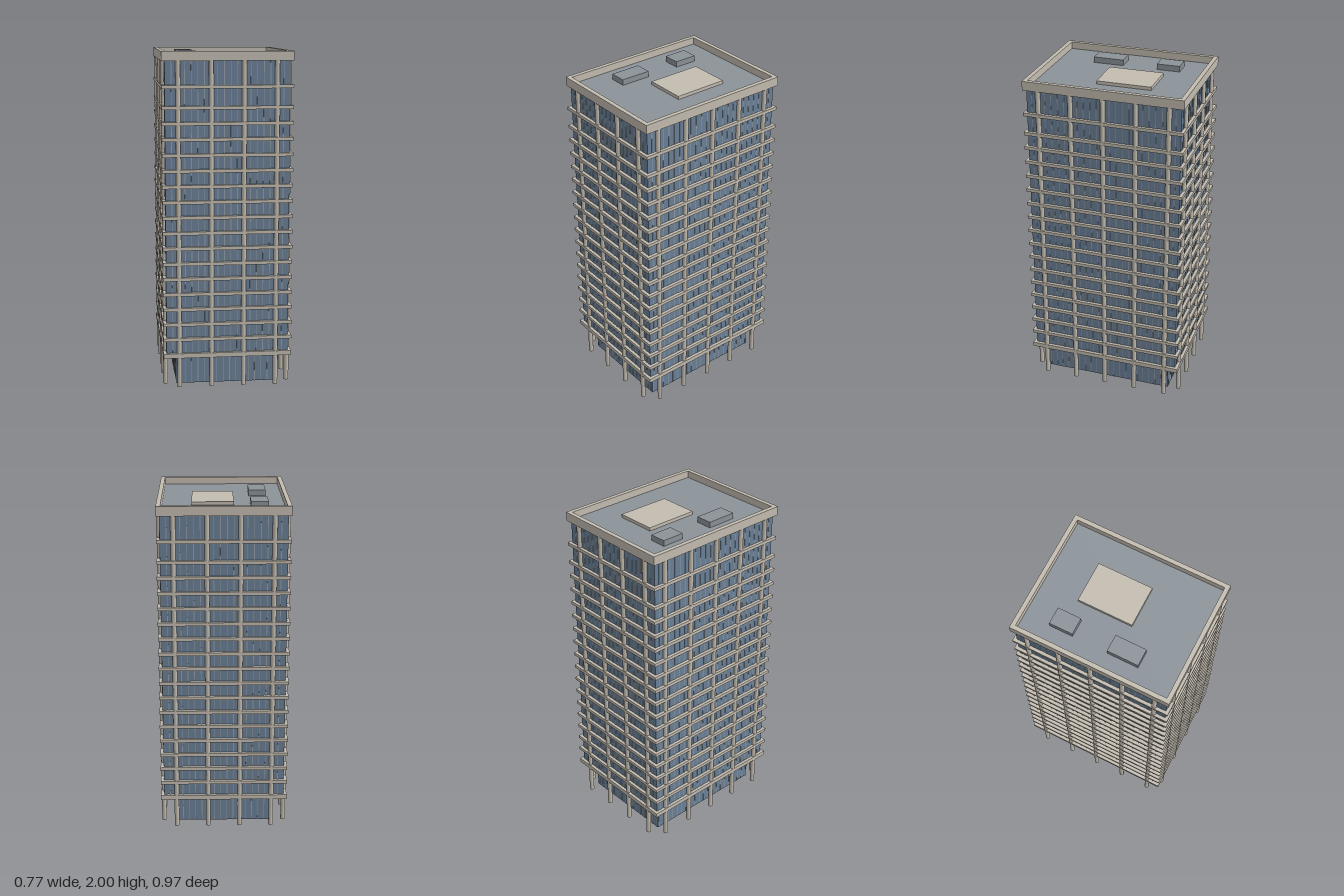
import * as THREE from 'three';

const HX = 0.385, HZ = 0.483;        // outer half sizes
const GX = 0.366, GZ = 0.464;        // tower glass half sizes
const LX = 0.304, LZ = 0.402;        // lobby half sizes
const SLAB = 0.18, TOP = 1.945, ROOF = 1.957;

const concrete = new THREE.MeshStandardMaterial({ name: 'concrete', color: 0xc3bcb0 });
const glass = new THREE.MeshStandardMaterial({ name: 'glass', color: 0x6a8097 });
const lobbyGlass = new THREE.MeshStandardMaterial({ name: 'lobby glass', color: 0x6a8097, side: THREE.DoubleSide });
const mullionGrey = new THREE.MeshStandardMaterial({ name: 'mullion grey', color: 0x969fa5 });
const roofGrey = new THREE.MeshStandardMaterial({ name: 'roof grey', color: 0x8b9299 });

export function createModel() {
  const model = new THREE.Group();
  model.name = 'officeTower';

  const add = (name, geometry, material, x = 0, y = 0, z = 0, parent = model) => {
    const mesh = new THREE.Mesh(geometry, material);
    mesh.name = name;
    mesh.position.set(x, y, z);
    parent.add(mesh);
    return mesh;
  };
  // Box given by its ranges along each axis
  const block = (name, material, x0, x1, y0, y1, z0, z1, parent) =>
    add(name, new THREE.BoxGeometry(x1 - x0, y1 - y0, z1 - z0), material,
      (x0 + x1) / 2, (y0 + y1) / 2, (z0 + z1) / 2, parent);

  // Glass body and recessed lobby, whose underside is open
  block('towerGlass', glass, -GX, GX, SLAB + 0.02, TOP, -GZ, GZ);
  for (const s of [-1, 1]) {
    const front = add('lobbyWall', new THREE.PlaneGeometry(2 * LX, SLAB), lobbyGlass, 0, SLAB / 2, s * LZ);
    const side = add('lobbyWall', new THREE.PlaneGeometry(2 * LZ, SLAB), lobbyGlass, s * LX, SLAB / 2, 0);
    front.rotation.y = s > 0 ? 0 : Math.PI;
    side.rotation.y = s * Math.PI / 2;
  }

  // First floor slab and the floor bands above it
  block('firstFloorSlab', concrete, -HX, HX, SLAB, 0.208, -HZ, HZ);
  const levels = Array.from({ length: 16 }, (_, i) => 0.294 + i * 0.0921);
  levels.push(1.796);
  const bands = new THREE.Group();
  bands.name = 'floorBands';
  model.add(bands);
  for (const y of levels) block('floorBand', concrete, -HX, HX, y - 0.01, y + 0.01, -HZ, HZ, bands);

  // Round columns: four on the front and back, five on each side
  const columnGeo = new THREE.CylinderGeometry(0.0145, 0.0145, TOP, 14);
  const columns = new THREE.Group();
  columns.name = 'columns';
  model.add(columns);
  for (const s of [-1, 1]) {
    for (let i = 0; i < 4; i++) add('column', columnGeo, concrete, (i - 1.5) * 0.193, TOP / 2, s * (HZ - 0.0155), columns);
    for (let i = 0; i < 5; i++) add('column', columnGeo, concrete, s * (HX - 0.0155), TOP / 2, (i - 2) * 0.1965, columns);
  }

  // Thin vertical glazing bars, five panes to a bay
  const mullions = new THREE.Group();
  mullions.name = 'mullions';
  model.add(mullions);
  const bars = (hx, hz, y0, y1) => {
    const geo = new THREE.BoxGeometry(0.004, y1 - y0, 0.004);
    const y = (y0 + y1) / 2;
    const place = (half, pitch, offset, put) => {
      for (let k = -12; k <= 12; k++) {
        const p = (k + offset) * pitch;
        if (Math.abs(p) < half - 0.004) put(p);
      }
    };
    for (const s of [-1, 1]) {
      place(hx, 0.193 / 5, 0.5, p => add('mullion', geo, mullionGrey, p, y, s * hz, mullions));
      place(hz, 0.1965 / 5, 0, p => add('mullion', geo, mullionGrey, s * hx, y, p, mullions));
    }
  };
  bars(GX, GZ, 0.208, TOP);
  bars(LX, LZ, 0, SLAB);

  // Parapet ring around the roof
  const rect = (S, x, z) => new S([
    new THREE.Vector2(-x, -z), new THREE.Vector2(x, -z),
    new THREE.Vector2(x, z), new THREE.Vector2(-x, z),
  ]);
  const ring = rect(THREE.Shape, HX, HZ);
  ring.holes.push(rect(THREE.Path, 0.359, 0.457));
  const parapetGeo = new THREE.ExtrudeGeometry(ring, { depth: 2 - TOP, bevelEnabled: false });
  parapetGeo.rotateX(-Math.PI / 2);
  add('parapet', parapetGeo, concrete, 0, TOP, 0);

  // Roof deck, core cap and plant boxes
  block('roofDeck', roofGrey, -0.36, 0.36, TOP - 0.005, ROOF, -0.458, 0.458);
  block('coreCap', concrete, -0.063, 0.185, ROOF, ROOF + 0.02, -0.232, 0.101);
  block('plantBox', roofGrey, -0.262, -0.159, ROOF, ROOF + 0.035, -0.303, -0.161);
  block('plantBox', roofGrey, -0.262, -0.159, ROOF, ROOF + 0.035, 0.05, 0.238);

  return model;
}
